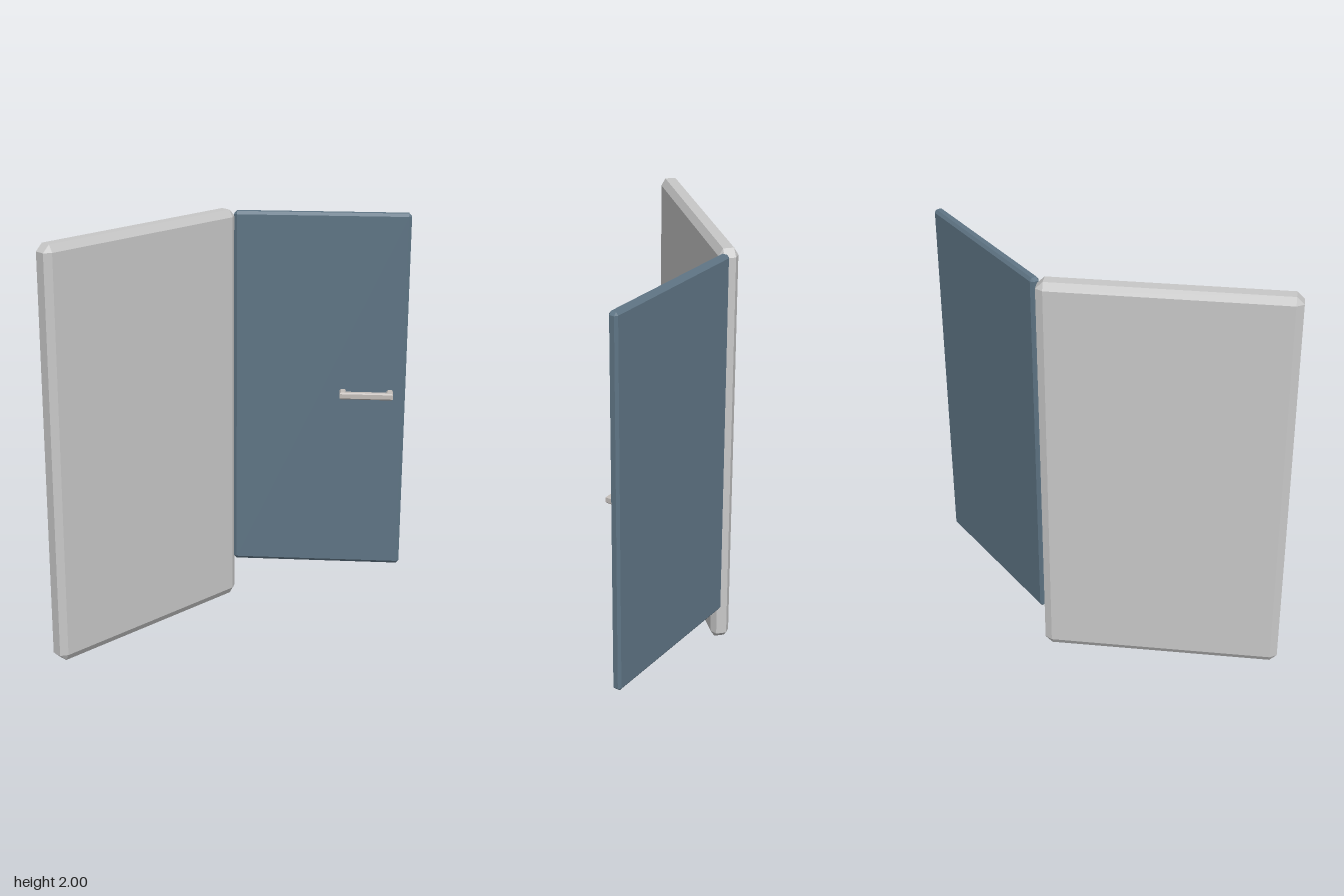
import * as THREE from 'three';
import { ConvexGeometry } from 'three/addons/geometries/ConvexGeometry.js';

// Box with chamfered edges and corners; bevel is given per axis
function chamferBox(w, h, d, bx, by, bz) {
  const points = [];
  for (const sx of [-1, 1]) for (const sy of [-1, 1]) for (const sz of [-1, 1]) {
    const x = w / 2, y = h / 2, z = d / 2;
    points.push(
      new THREE.Vector3(sx * x, sy * (y - by), sz * (z - bz)),
      new THREE.Vector3(sx * (x - bx), sy * y, sz * (z - bz)),
      new THREE.Vector3(sx * (x - bx), sy * (y - by), sz * z)
    );
  }
  return new ConvexGeometry(points);
}

function makeMaterial(name, color) {
  const m = new THREE.MeshStandardMaterial({ color });
  m.name = name;
  return m;
}

export function createModel() {
  const model = new THREE.Group();
  model.name = 'openDoor';
  const panelGrey = makeMaterial('panelGrey', 0xc8c8c8);
  const doorBlue = makeMaterial('doorBlue', 0x5f7585);
  const handleGrey = makeMaterial('handleGrey', 0xc4beba);

  const add = (parent, name, geometry, material) => {
    const mesh = new THREE.Mesh(geometry, material);
    mesh.name = name;
    parent.add(mesh);
    return mesh;
  };

  // Fixed panel
  add(model, 'fixedPanel', chamferBox(1.132, 2, 0.09, 0.034, 0.034, 0.02), panelGrey)
    .position.set(-0.292, 1, -0.31);

  // Door leaf, swung open about its hinge edge
  const door = new THREE.Group();
  door.name = 'door';
  door.position.set(0.558, 1.09, 0.022);
  door.rotation.y = -THREE.MathUtils.degToRad(48);
  model.add(door);
  add(door, 'doorLeaf', chamferBox(0.84, 1.8, 0.044, 0.014, 0.014, 0.01), doorBlue);

  // U-shaped pull handle with bevelled edges, lying in a horizontal plane
  const b = 0.006, x0 = 0.1 + b, x1 = 0.36 - b, t = 0.03 - 2 * b;
  const outer = -0.086 + b, inner = outer + t, foot = -0.015;
  const profile = new THREE.Shape([
    [x0, foot], [x0, outer], [x1, outer], [x1, foot],
    [x1 - t, foot], [x1 - t, inner], [x0 + t, inner], [x0 + t, foot],
  ].map(([x, y]) => new THREE.Vector2(x, y)));
  const handleGeometry = new THREE.ExtrudeGeometry(profile, {
    depth: 0.034 - 2 * b, bevelEnabled: true, bevelSize: b, bevelThickness: b, bevelSegments: 1,
  });
  handleGeometry.translate(0, 0, -(0.034 - 2 * b) / 2);
  handleGeometry.rotateX(-Math.PI / 2);
  add(door, 'handle', handleGeometry, handleGrey).position.y = 0.011;

  return model;
}
